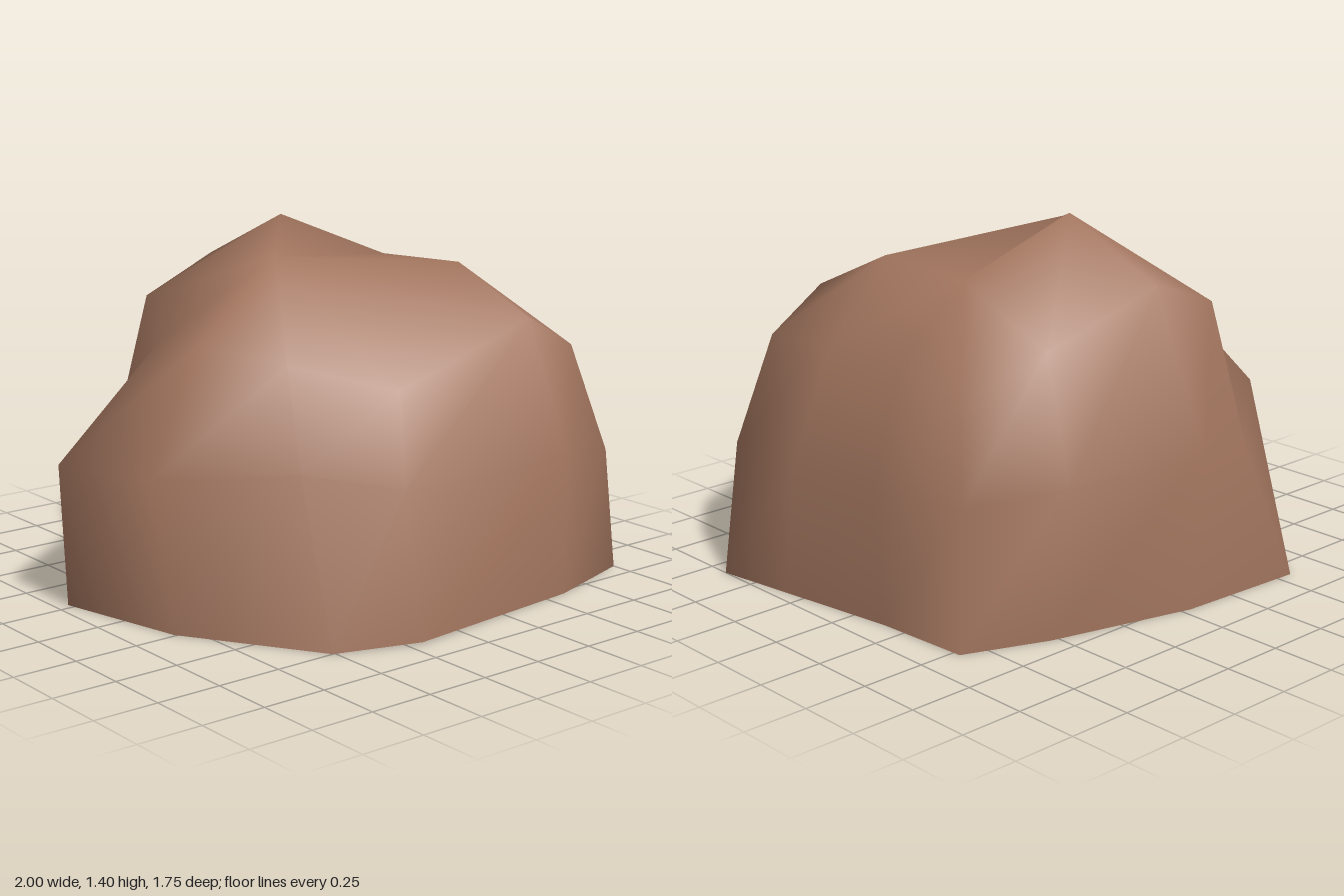
import * as THREE from 'three';

// Cross-sections of the boulder, listed anticlockwise as seen from above.
const base = [
  [0.85, 0, -0.53], [0.53, 0, -0.66], [-0.04, 0, -0.81], [-0.57, 0, -0.84],
  [-0.95, 0, -0.28], [-0.83, 0, 0.24], [-0.51, 0, 0.75], [-0.2, 0.01, 0.875],
  [0.6, 0, 0.78], [1, 0, 0.66], [0.95, 0, 0.34], [0.875, 0, -0.15],
];
const waist = [
  [0.8, 0.52, -0.49], [0.5, 0.58, -0.71], [-0.02, 0.63, -0.88], [-0.45, 0.48, -0.71],
  [-1, 0.56, -0.24], [-0.92, 0.59, 0.24], [-0.51, 0.61, 0.57], [-0.2, 0.55, 0.78],
  [0.58, 0.55, 0.8], [0.9, 0.5, 0.69], [0.93, 0.5, 0.3], [0.89, 0.5, -0.12],
];
const shoulder = [
  [0.72, 0.88, -0.4], [0.45, 1.03, -0.55], [-0.02, 1.2, -0.63], [-0.37, 1.07, -0.58],
  [-0.61, 1.0, -0.13], [-0.6, 1.01, 0.1], [-0.39, 0.95, 0.34], [-0.08, 0.86, 0.6],
  [0.5, 1.06, 0.66], [0.775, 0.92, 0.61], [0.78, 0.95, 0.25], [0.76, 0.95, -0.12],
];
// Four crown points: right ridge, peak, left ridge, front ridge
const crown = [[0.46, 1.21, -0.13], [0, 1.4, -0.2], [-0.27, 1.3, 0.11], [0.47, 1.23, 0.3]];
// Crown point above each shoulder point
const crownAbove = [0, 0, 1, 1, 2, 2, 2, 2, 3, 3, 3, 0];

function boulderGeometry() {
  const n = base.length;
  const points = [...base, ...waist, ...shoulder, ...crown];
  const vertexAt = (ring, i) => (ring < 3 ? ring * n + (i % n) : 3 * n + crownAbove[i % n]);
  const index = [];
  const addFace = (a, b, c) => {
    if (a !== b && b !== c && c !== a) index.push(a, b, c);
  };

  // Walls between neighbouring rings
  for (let ring = 0; ring < 3; ring++) {
    for (let i = 0; i < n; i++) {
      const a = vertexAt(ring, i), b = vertexAt(ring, i + 1);
      const c = vertexAt(ring + 1, i + 1), d = vertexAt(ring + 1, i);
      // The hollow front left wall folds along the other diagonal
      if (ring === 2 && i === 7) {
        addFace(a, b, d);
        addFace(b, c, d);
      } else {
        addFace(a, b, c);
        addFace(a, c, d);
      }
    }
  }
  // Crown, with a shallow fold running from side to side
  const [right, peak, left, front] = [0, 1, 2, 3].map((k) => 3 * n + k);
  addFace(peak, left, right);
  addFace(left, front, right);

  const geometry = new THREE.BufferGeometry();
  geometry.setAttribute('position', new THREE.Float32BufferAttribute(points.flat(), 3));
  geometry.setIndex(index);
  geometry.computeVertexNormals();
  return geometry;
}

export function createModel() {
  const group = new THREE.Group();
  group.name = 'rock';

  // The shell is open underneath
  const stone = new THREE.MeshStandardMaterial({ color: 0xa3765f, side: THREE.DoubleSide });
  stone.name = 'brownStone';

  const boulder = new THREE.Mesh(boulderGeometry(), stone);
  boulder.name = 'boulder';
  group.add(boulder);
  return group;
}
